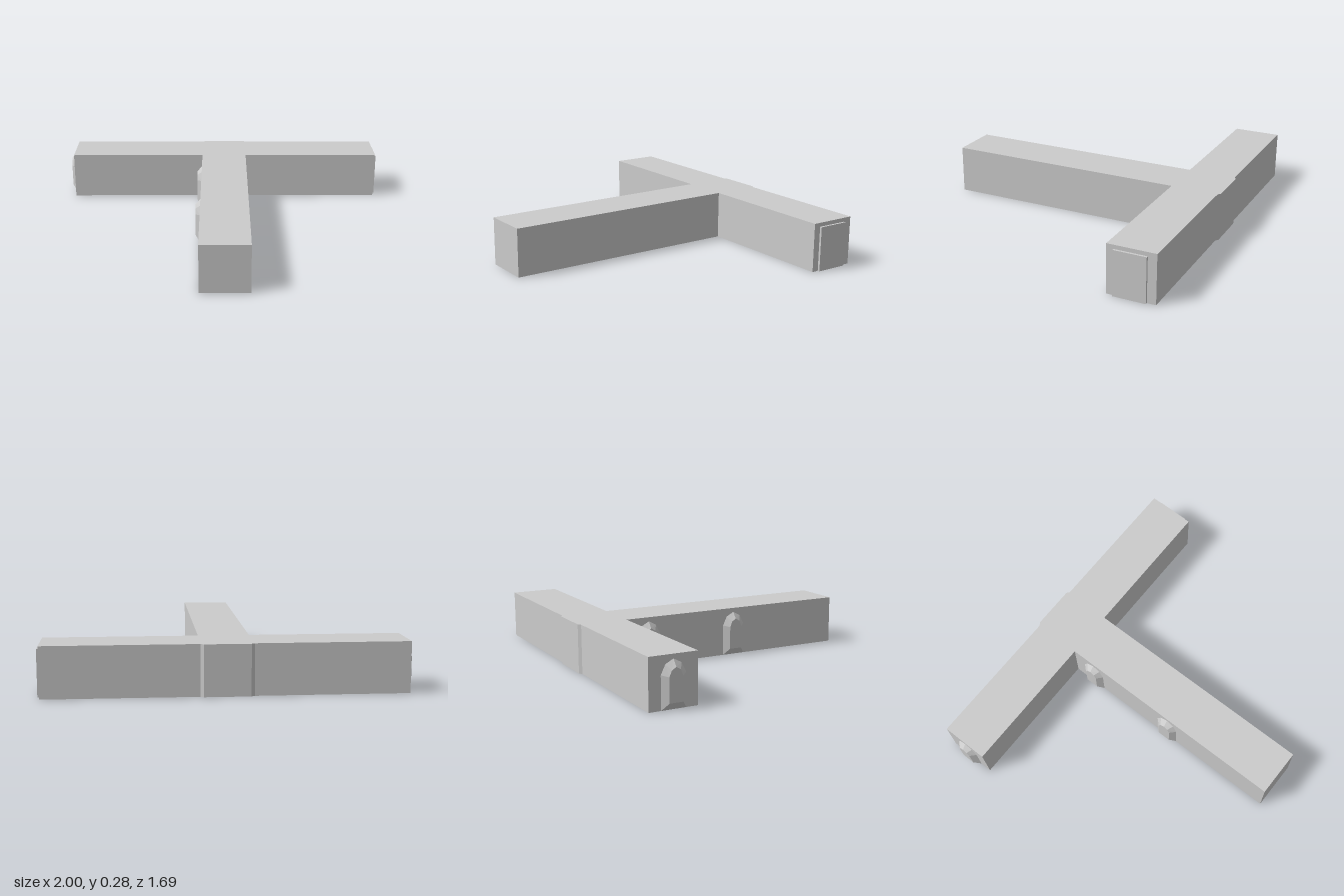
import * as THREE from 'three';

const material = new THREE.MeshStandardMaterial({ color: 0xcccccc, flatShading: true });
const HEIGHT = 0.28;

// Extrudes a plan outline of [x, z] points upward from the ground
function extrudePlan(points, height) {
  const shape = new THREE.Shape(points.map(([x, z]) => new THREE.Vector2(x, -z)));
  const geometry = new THREE.ExtrudeGeometry(shape, { depth: height, bevelEnabled: false });
  return geometry.rotateX(-Math.PI / 2);
}

// Arched niche: a wide arch on the wall tapering to a smaller one at its outer face (-x)
function nicheGeometry(depth) {
  const wall = [[-0.07, 0], [-0.07, 0.18], [-0.045, 0.232], [0, 0.256], [0.045, 0.232], [0.07, 0.18], [0.07, 0]];
  const outer = [[-0.038, 0.04], [-0.038, 0.172], [-0.025, 0.205], [0, 0.22], [0.025, 0.205], [0.038, 0.172], [0.038, 0.04]];
  const n = wall.length;
  const positions = [], index = [];
  wall.forEach(([z, y]) => positions.push(0, y, z));
  outer.forEach(([z, y]) => positions.push(-depth, y, z));
  for (let i = 0; i < n; i++) {
    const j = (i + 1) % n;
    index.push(i, n + i, j, j, n + i, n + j);
  }
  for (let i = 1; i < n - 1; i++) index.push(n, n + i + 1, n + i);
  const geometry = new THREE.BufferGeometry();
  geometry.setAttribute('position', new THREE.Float32BufferAttribute(positions, 3));
  geometry.setIndex(index);
  const flat = geometry.toNonIndexed();
  flat.computeVertexNormals();
  return flat;
}

export function createModel() {
  const group = new THREE.Group();
  const add = (name, geometry, x = 0, y = 0, z = 0) => {
    const mesh = new THREE.Mesh(geometry, material);
    mesh.name = name;
    mesh.position.set(x, y, z);
    group.add(mesh);
  };

  // T-shaped corridor with a shallow chamfered bay at the back of the junction
  add('corridor', extrudePlan([
    [-0.97, -0.56], [-0.135, -0.56], [-0.135, 0.845], [0.145, 0.845],
    [0.145, -0.56], [0.985, -0.56], [0.985, -0.835], [0.148, -0.835],
    [0.132, -0.848], [-0.118, -0.848], [-0.137, -0.835], [-0.97, -0.835],
  ], HEIGHT));

  // Raised door panel on the left end of the crossbar
  add('doorPanel', new THREE.BoxGeometry(0.014, 0.257, 0.185), 0.991, 0.1285, -0.6925);

  // Arched niches on the right end and along the stem
  const niche = nicheGeometry(0.03);
  add('endNiche', niche, -0.97, 0, -0.697);
  add('rearStemNiche', niche, -0.135, 0, -0.42);
  add('frontStemNiche', niche, -0.135, 0, 0.14);
  material.side = THREE.DoubleSide;

  return group;
}
